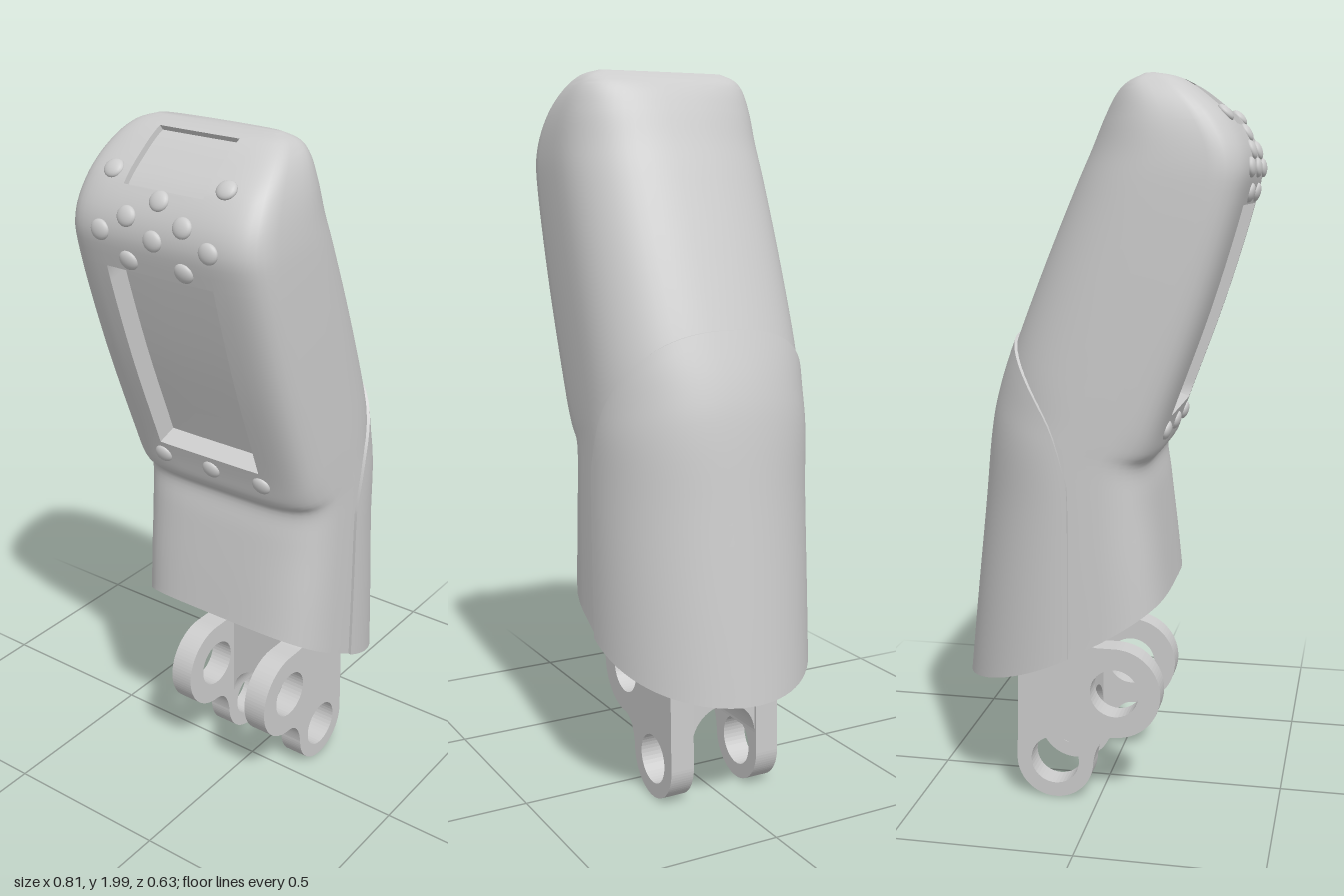
import * as THREE from 'three';
import { toCreasedNormals } from 'three/addons/utils/BufferGeometryUtils.js';

// Tilted sections, bottom to top:
// back x, back y, front x, front y, half width, back squareness, front squareness, side position, sag
const KEYS = [
  [-0.19, 0.62, 0.395, 0.34, 0.305, 4, 2, 0.42, 0.03],
  [-0.175, 0.75, 0.37, 0.58, 0.307, 4, 2, 0.42, 0.015],
  [-0.155, 0.90, 0.34, 0.85, 0.308, 4, 2, 0.42, 0],
  [-0.142, 0.985, 0.317, 1.05, 0.308, 4.5, 2.1, 0.43, 0],
  [-0.17, 1.025, 0.292, 1.17, 0.308, 5, 2.2, 0.44, 0],
  [-0.20, 1.12, 0.243, 1.31, 0.308, 6, 2.4, 0.45, 0],
  [-0.30, 1.40, 0.16, 1.52, 0.307, 6, 2.5, 0.45, 0],
  [-0.38, 1.67, 0.08, 1.71, 0.303, 6, 2.5, 0.45, 0],
  [-0.397, 1.78, 0.035, 1.81, 0.297, 5.5, 2.5, 0.45, 0],
  [-0.355, 1.875, 0.0, 1.89, 0.283, 5, 2.5, 0.47, 0],
  [-0.28, 1.945, -0.03, 1.945, 0.26, 5, 2.5, 0.48, 0],
  [-0.215, 1.988, -0.06, 1.975, 0.228, 4.5, 2.5, 0.5, 0],
  [-0.16, 2.0, -0.11, 1.997, 0.185, 4, 2.5, 0.5, 0],
];
const LAST = KEYS.length - 1;

// Smooth blend between the sections
function section(s) {
  const i = Math.min(Math.floor(s), LAST - 1), f = s - i;
  const k = (n) => KEYS[Math.max(0, Math.min(LAST, n))];
  return KEYS[0].map((_, j) => {
    const a = k(i - 1)[j], b = k(i)[j], c = k(i + 1)[j], d = k(i + 2)[j];
    return b + 0.5 * f * (c - a + f * (2 * a - 5 * b + 4 * c - d + f * (3 * (b - c) + d - a)));
  });
}

function place(k, t, z) {
  const [bx, by, fx, fy] = k;
  return new THREE.Vector3(bx + (fx - bx) * t, by + (fy - by) * t - k[8] * Math.sin(Math.PI * t), z);
}

function backPoint(s, z) {
  const k = section(s), n = k[5];
  const u = Math.pow(Math.max(0, 1 - Math.pow(Math.min(1, Math.abs(z) / k[4]), n)), 1 / n);
  return place(k, k[7] * (1 - u), z);
}

function frontPoint(s, a) {
  const k = section(s), e = 2 / k[6];
  const u = Math.pow(Math.max(0, Math.cos(a)), e);
  const v = Math.sign(a) * Math.pow(Math.abs(Math.sin(a)), e);
  return place(k, k[7] + (1 - k[7]) * u, k[4] * v);
}

// Section index at which a point function reaches a height
function findHeight(fn, y) {
  let lo = 0, hi = LAST;
  for (let i = 0; i < 40; i++) {
    const m = (lo + hi) / 2;
    if (fn(m).y < y) lo = m; else hi = m;
  }
  return lo;
}

// Surface through rows of points
function skin(rows, closed, caps) {
  const n = rows[0].length, pos = [], idx = [];
  rows.forEach((r) => r.forEach((p) => pos.push(p.x, p.y, p.z)));
  for (let r = 0; r < rows.length - 1; r++) {
    for (let i = 0; i < (closed ? n : n - 1); i++) {
      const j = (i + 1) % n, a = r * n + i, b = r * n + j;
      idx.push(a, b, b + n, a, b + n, a + n);
    }
  }
  if (caps) {
    [0, rows.length - 1].forEach((r) => {
      const c = new THREE.Vector3();
      rows[r].forEach((p) => c.addScaledVector(p, 1 / n));
      const m = pos.length / 3;
      pos.push(c.x, c.y, c.z);
      for (let i = 0; i < n; i++) {
        const a = r * n + i, b = r * n + (i + 1) % n;
        if (r) idx.push(m, a, b); else idx.push(m, b, a);
      }
    });
  }
  const g = new THREE.BufferGeometry();
  g.setAttribute('position', new THREE.Float32BufferAttribute(pos, 3));
  g.setIndex(idx);
  return toCreasedNormals(g, 0.6);
}

// Main shell, with the screen recess and the top window sunk into its back
function shellGeometry() {
  const levels = [5.01, 6.99, 9.02, 10.98];
  for (let i = 0; i <= LAST * 5; i++) levels.push(i / 5);
  levels.sort((a, b) => a - b);
  const inner = [0, 0.06, 0.119, 0.12, 0.164, 0.165];
  const outer = [0.25, 0.45, 0.6, 0.73, 0.84, 0.92, 0.97, 0.99];
  const rows = levels.map((s) => {
    const w = section(s)[4];
    const half = [...inner, ...outer.map((f) => 0.165 + (w - 0.165) * f)];
    const back = (z) => {
      const p = backPoint(s, z), a = Math.abs(z);
      if (s > 5 && s < 7 && a < 0.1645) p.add(new THREE.Vector3(0.055, 0.02, 0));
      if (s > 9 && s < 11 && a < 0.1195) p.add(new THREE.Vector3(0.01, -0.012, 0));
      return p;
    };
    const ring = half.map(back);
    for (let i = 0; i <= 28; i++) ring.push(frontPoint(s, Math.PI * (0.5 - i / 28)));
    for (let i = half.length - 1; i > 0; i--) ring.push(back(-half[i]));
    return ring;
  });
  return skin(rows, true, true);
}

// Front plate, slightly proud of the shell, with an arched top edge
function plateGeometry() {
  const rows = [], N = 40, M = 24;
  for (let r = 0; r <= M + 1; r++) {
    const row = [];
    for (let i = -1; i <= N + 1; i++) {
      const a = Math.PI * (0.5 - Math.max(0, Math.min(N, i)) / N);
      const yTop = 0.95 + 0.37 * Math.pow(Math.max(0, Math.cos(a)), 0.6);
      const s = findHeight((q) => frontPoint(q, a), yTop) * Math.min(r, M) / M;
      const rim = r > M || i < 0 || i > N;
      const out = rim ? -0.015 : 0.008;
      row.push(frontPoint(s, a).add(new THREE.Vector3(Math.cos(a) * out, 0, Math.sin(a) * out)));
    }
    rows.push(row);
  }
  return skin(rows, false, false);
}

// Side cheek of the hinge bracket, with two pin holes
function cheekGeometry() {
  const s = new THREE.Shape();
  s.moveTo(0.235, 0.12);
  s.lineTo(0.225, 0.6);
  s.lineTo(0.04, 0.6);
  s.lineTo(0.04, 0.5);
  s.quadraticCurveTo(0.04, 0.46, 0, 0.46);
  s.lineTo(-0.045, 0.46);
  s.absarc(-0.045, 0.33, 0.13, Math.PI / 2, Math.PI * 1.5, false);
  s.quadraticCurveTo(0.005, 0.195, 0.015, 0.12);
  s.absarc(0.125, 0.12, 0.11, Math.PI, Math.PI * 2, false);
  [[-0.045, 0.33], [0.125, 0.12]].forEach(([x, y]) => {
    s.holes.push(new THREE.Path().absarc(x, y, 0.069, 0, Math.PI * 2, true));
  });
  return new THREE.ExtrudeGeometry(s, { depth: 0.07, bevelEnabled: false, curveSegments: 20 });
}

// Arched bridge between the cheeks
function bridgeGeometry() {
  const s = new THREE.Shape();
  s.moveTo(-0.1, 0.18);
  s.absarc(0, 0.18, 0.1, Math.PI, 0, true);
  s.lineTo(0.1, 0.6);
  s.lineTo(-0.1, 0.6);
  const g = new THREE.ExtrudeGeometry(s, { depth: 0.185, bevelEnabled: false, curveSegments: 20 });
  return g.rotateY(Math.PI / 2).translate(0.04, 0, 0);
}

export function createModel() {
  const group = new THREE.Group();
  const mat = new THREE.MeshStandardMaterial({ color: 0xcccccc });
  const thin = new THREE.MeshStandardMaterial({ color: 0xcccccc, side: THREE.DoubleSide });
  const add = (name, geo, m = mat) => {
    const mesh = new THREE.Mesh(geo, m);
    mesh.name = name;
    group.add(mesh);
    return mesh;
  };

  add('shell', shellGeometry());
  add('frontPlate', plateGeometry(), thin);

  // Hinge bracket
  const cheek = cheekGeometry();
  [0.1, -0.17].forEach((z) => { add('bracketCheek', cheek).position.z = z; });
  add('bracketBridge', bridgeGeometry());

  // Domed buttons around the screen: height, then positions across
  const dome = new THREE.SphereGeometry(1, 20, 12);
  const buttons = [
    [1.9, [-0.17, 0.17]], [1.855, [0]], [1.81, [-0.085, 0.085]],
    [1.765, [-0.165, 0, 0.165]], [1.70, [-0.085, 0.085]], [1.08, [-0.165, 0, 0.165]],
  ];
  buttons.forEach(([y, zs]) => zs.forEach((z) => {
    const s = findHeight((q) => backPoint(q, z), y);
    const up = backPoint(s + 0.05, z).sub(backPoint(s - 0.05, z)).normalize();
    const button = add('button', dome);
    button.position.copy(backPoint(s, z));
    button.scale.set(0.013, 0.026, 0.028);
    button.rotation.z = Math.atan2(-up.x, up.y);
  }));
  return group;
}
